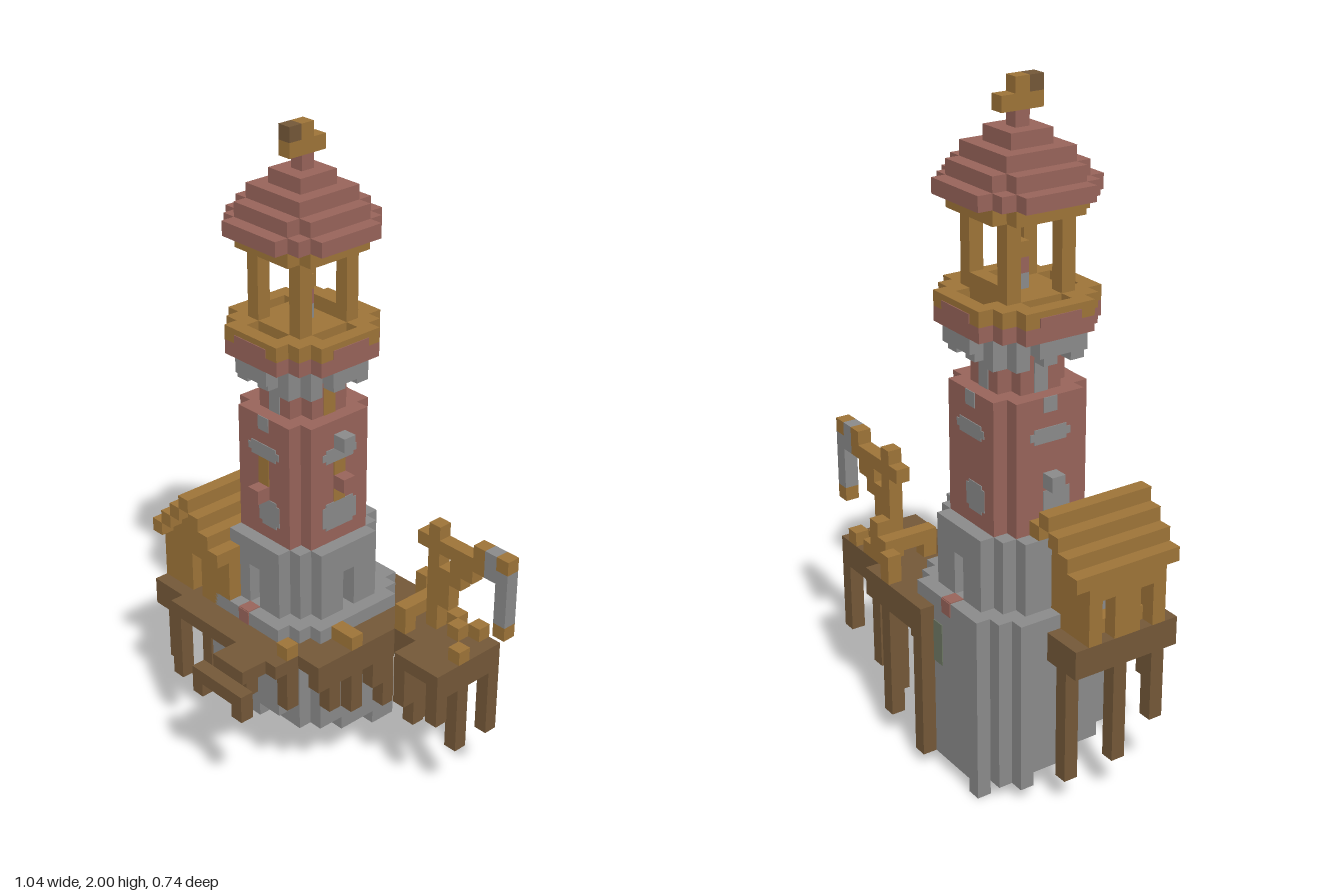
import * as THREE from 'three';
import { mergeGeometries } from 'three/addons/utils/BufferGeometryUtils.js';

const U = 2 / 46; // one block
const CX = 8, CZ = 6; // tower centre block

const mat = (name, color) => {
  const m = new THREE.MeshStandardMaterial({ color });
  m.name = name;
  return m;
};

// box from block-grid ranges: x0,x1, y0,y1, z0,z1
function box([x0, x1, y0, y1, z0, z1]) {
  const g = new THREE.BoxGeometry((x1 - x0) * U, (y1 - y0) * U, (z1 - z0) * U);
  return g.translate(((x0 + x1) / 2 - 12) * U, ((y0 + y1) / 2) * U, ((z0 + z1) / 2 - 8.5) * U);
}

// stepped octagon layer, r blocks each side of the centre, corners cut where |x|+|z| > limit
function disc(r, limit, y0, y1) {
  const out = [];
  for (let d = -r; d <= r; d++) {
    const w = Math.min(r, limit - Math.abs(d));
    out.push([CX - w, CX + w + 1, y0, y1, CZ + d, CZ + d + 1]);
  }
  return out;
}

// octagon columns kept where the rule accepts their distances from the centre
function columns(r, limit, y0, y1, keep) {
  const out = [];
  for (let x = -r; x <= r; x++) {
    for (let z = -r; z <= r; z++) {
      const a = Math.abs(x), b = Math.abs(z);
      if (a + b <= limit && keep(a, b)) out.push([CX + x, CX + x + 1, y0, y1, CZ + z, CZ + z + 1]);
    }
  }
  return out;
}

// thin rectangle on each chosen tower face at radius r; a0..a1 is measured sideways from the axis
function plates(r, a0, a1, y0, y1, sides = 'fblr') {
  const t = 0.06, x = CX + 0.5, z = CZ + 0.5, e = r + 0.5;
  const all = {
    f: [x + a0, x + a1, y0, y1, z + e, z + e + t],
    b: [x - a1, x - a0, y0, y1, z - e - t, z - e],
    l: [x + e, x + e + t, y0, y1, z - a1, z - a0],
    r: [x - e - t, x - e, y0, y1, z + a0, z + a1],
  };
  return [...sides].map((s) => all[s]);
}

// patch with nibbled corners
const patch = (r, a0, a1, y0, y1, sides) => [
  ...plates(r, a0 + 0.3, a1 - 0.3, y0, y1, sides),
  ...plates(r, a0, a0 + 0.3, y0 + 0.25, y1 - 0.25, sides),
  ...plates(r, a1 - 0.3, a1, y0 + 0.25, y1 - 0.25, sides),
];

const cube = (x, y, z) => [x, x + 1, y, y + 1, z, z + 1];

export function createModel() {
  const group = new THREE.Group();
  const stone = mat('stone grey', 0x8a8a8a);
  const brick = mat('brick red', 0x98645a);
  const wood = mat('ochre wood', 0x9e7438);
  const dark = mat('dark wood', 0x745838);
  const moss = mat('moss green', 0x6d7864);

  const part = (name, material, boxes) => {
    const mesh = new THREE.Mesh(mergeGeometries(boxes.map(box)), material);
    mesh.name = name;
    group.add(mesh);
  };

  // stone base whose underside climbs towards the front left
  const base = [];
  for (let dz = -5; dz <= 5; dz++) {
    const w = Math.min(5, 8 - Math.abs(dz));
    for (let dx = -w; dx <= w; dx++) {
      const x = CX + dx, z = CZ + dz;
      base.push([x, x + 1, Math.floor(1 + 0.4 * (z - 1) + 0.15 * (x - 3)), 13, z, z + 1]);
    }
  }
  base.push(cube(5, 0, 1));
  part('stoneBase', stone, base);
  part('brickSteps', brick, [...plates(5, -0.5, 0.5, 12, 13, 'fb'), [8, 9, 13, 13.06, 1, 2], [8, 9, 13, 13.06, 11, 12]]);
  part('mossPatch', moss, [
    ...plates(5, -1.5, 3.5, 8, 11, 'l'), [13, 13.06, 8, 11, 2, 3], ...plates(5, -3.5, -0.5, 8, 11, 'b'),
  ]);

  // upper base with recessed doorways on the four axes
  const besideDoor = (a, b) => (a > 0 && b > 0) || a + b < 3;
  part('upperStoneBase', stone, [...columns(4, 6, 13, 16, besideDoor), ...disc(4, 6, 16, 18)]);
  part('doors', wood, plates(2, -0.5, 0.5, 13, 16, 'fl'));

  // brick shaft with stone patches, windows and ledges
  part('brickShaft', brick, disc(3, 5, 18, 27));
  part('stonePatches', stone, [
    ...patch(3, -1.5, 1.5, 24, 25), ...patch(3, -0.5, 1.5, 19, 21, 'fbr'), ...patch(3, -1.5, 1.5, 19, 21, 'l'),
  ]);
  part('shaftWindows', wood, plates(3, -0.5, 0.5, 21, 24, 'fl'));
  part('brickLedges', brick, [cube(8, 21, 10), cube(12, 22, 6)]);
  part('stoneLedges', stone, [cube(12, 25, 6), cube(4, 21, 6)]);
  part('brickNeck', brick, disc(2, 3, 27, 30));
  part('neckStrips', stone, [...plates(2, -0.5, 0.5, 27, 29, 'fbr'), ...plates(3, -0.5, 0.5, 26, 27, 'fbr')]);
  part('neckWindow', wood, plates(2, -0.5, 0.5, 27, 29, 'l'));

  // balcony on stone corbels
  const corbels = [];
  for (const s of [-3, 3]) {
    corbels.push(cube(CX + s, 29, CZ), cube(CX, 29, CZ + s));
    for (const t of [-2, 2]) corbels.push(cube(CX + s, 29, CZ + t), cube(CX + t, 29, CZ + s));
  }
  part('corbels', stone, corbels);
  part('balconyFloor', stone, disc(4, 5, 30, 31));
  part('balconyWall', brick, [...disc(4, 6, 31, 32), ...plates(4, -1.5, 1.5, 32, 32.6)]);
  part('balconyRail', wood, columns(4, 6, 32, 33, (a, b) => a === 4 || b === 4 || a + b >= 5));
  part('lanternBase', wood, [[6, 11, 32, 33, 4, 9], [7, 11, 33, 34, 4, 5]]);

  // lantern posts and lamp
  const posts = [];
  for (const x of [6, 10]) for (const z of [4, 8]) posts.push([x, x + 1, 32, 38, z, z + 1]);
  part('lanternPosts', wood, posts);
  part('lampStand', stone, [[8, 9, 33, 34, 6, 7]]);
  part('lamp', brick, [cube(8, 34, 6)]);
  part('lampTop', wood, [cube(8, 35, 6)]);

  // stepped roof and weather vane
  part('roofPlate', wood, disc(3, 5, 38, 39));
  part('roof', brick, [
    ...disc(4, 6, 39, 40), ...disc(3, 5, 40, 41), ...disc(2, 4, 41, 42), ...disc(1, 2, 42, 43), cube(8, 43, 6),
  ]);
  part('vane', wood, [[8, 9, 44, 45, 5, 8], cube(8, 45, 6)]);
  part('vaneTip', dark, [cube(8, 45, 7)]);

  // wooden hut with a stepped gable roof and a front doorway
  const roof = [], walls = [];
  for (let x = 0; x < 7; x++) {
    const top = 20 - Math.abs(x - 3);
    roof.push([x, x + 1, top - 1, top, 5, 13]);
    walls.push([x, x + 1, 12, top - 1, 6, 7], [x, x + 1, x === 3 ? 15 : 12, top - 1, 11, 12]);
  }
  walls.push([0, 1, 15, 16, 6, 12], [1, 2, 12, 13, 6, 12], [0, 1, 12, 16, 8, 10]);
  part('hutRoof', wood, roof);
  part('hutWalls', wood, walls);

  // decks around the tower, with edge beams below
  part('deck', dark, [
    [0, 7, 11, 12, 5, 13], [3, 14, 11, 12, 12, 14], [12, 16, 11, 12, 1, 12], [10, 17, 11, 12, 0, 5],
    [16, 22, 11, 12, 1, 5], [18, 22, 11, 12, 5, 7], [10, 13, 11, 12, 14, 16],
  ]);
  part('deckBeams', dark, [
    [0, 14, 10, 11, 12, 13], [0, 1, 10, 11, 5, 13], [0, 4, 10, 11, 5, 6], [10, 17, 10, 11, 0, 1],
    [15, 16, 10, 11, 0, 12], [16, 22, 10, 11, 1, 2], [16, 22, 10, 11, 4, 5], [21, 22, 10, 11, 1, 7],
  ]);
  part('frontLanding', dark, [[9, 14, 10, 11, 16, 17], cube(9, 9, 16), cube(13, 9, 16)]);

  // stilts: x, z, bottom
  const stilts = [
    [1, 5, 2], [0, 8, 3], [0, 11, 5], [3, 13, 6], [10, 13, 8], [13, 12, 8], [10, 0, 1], [14, 0, 2], [15, 1, 3],
    [14, 4, 5], [15, 6, 8], [15, 8, 7], [15, 10, 8], [17, 1, 4], [17, 4, 5], [21, 1, 5], [21, 4, 5], [18, 6, 8], [21, 6, 8],
  ];
  part('stilts', dark, stilts.map(([x, z, y]) => [x, x + 1, y, 11, z, z + 1]));

  // railing stubs on the right-hand decks
  part('railPosts', wood, [
    [14, 15, 12, 14, 0, 1], [14, 16, 12, 13, 8, 9], cube(13, 12, 12),
    cube(18, 12, 1), cube(20, 12, 1), cube(19, 12, 2), cube(21, 12, 4),
    [16, 17, 12, 14, 1, 2], [16, 17, 12, 14, 4, 5], [16, 17, 13, 14, 1, 5],
  ]);

  // crane with brace, arm and hanging chain
  part('crane', wood, [
    [17, 18, 12, 20, 2, 3], [16, 22, 18, 19, 2, 3], [21, 22, 19, 20, 2, 3], [18, 19, 14, 17, 2, 3],
    [19, 20, 16, 18, 2, 3], cube(20, 17, 2), cube(23, 19, 2), [17, 18, 12, 15, 1, 2],
  ]);
  part('craneChain', stone, [[22, 23, 18, 20, 2, 3], [23, 24, 15, 19, 2, 3]]);
  part('craneHook', wood, [cube(23, 14, 2)]);

  return group;
}
